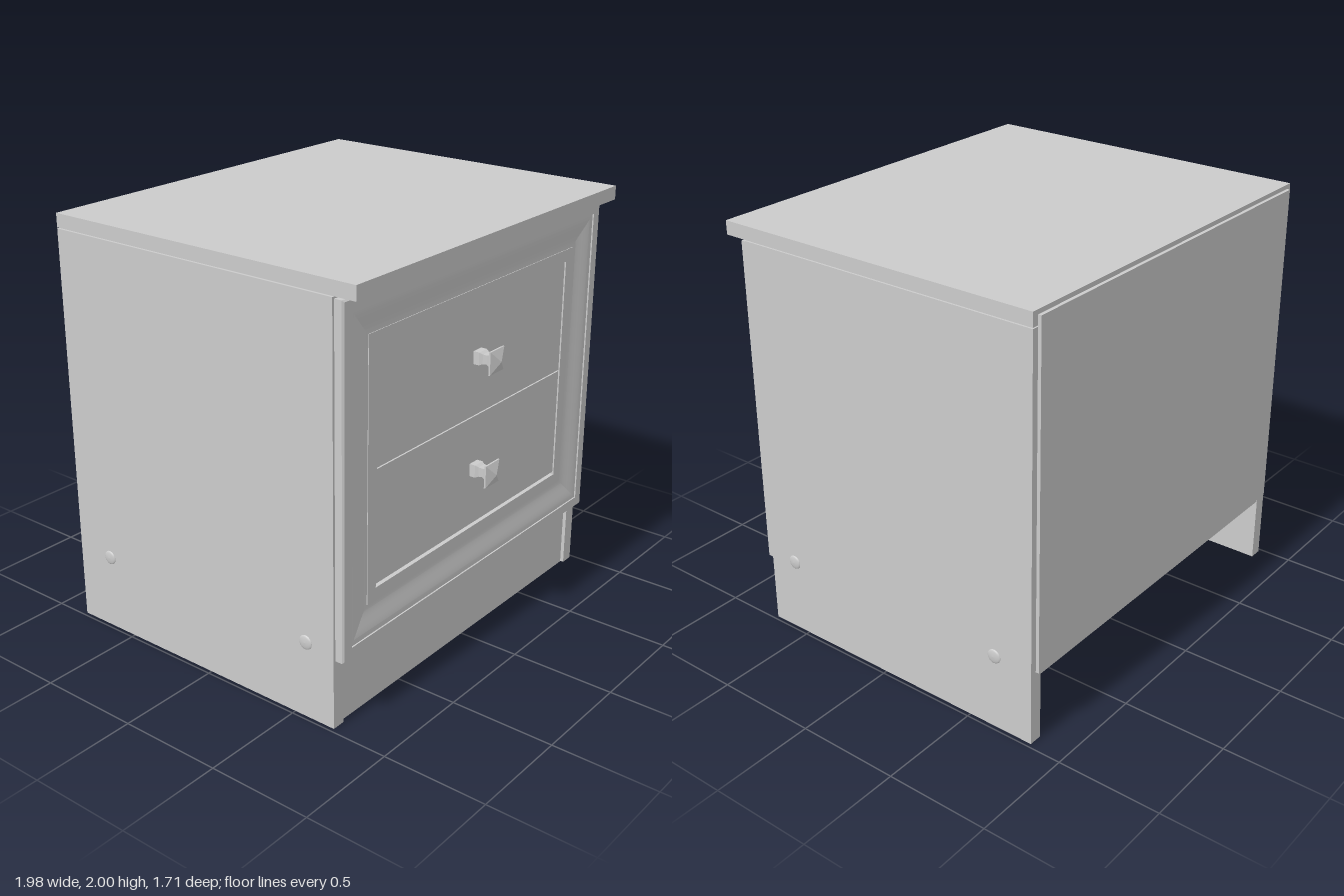
import * as THREE from 'three';
import { toCreasedNormals } from 'three/addons/utils/BufferGeometryUtils.js';

const material = new THREE.MeshStandardMaterial({ color: 0xcccccc });
const flatMaterial = new THREE.MeshStandardMaterial({ color: 0xcccccc, flatShading: true });

export function createModel() {
  const model = new THREE.Group();
  model.name = 'nightstand';

  const add = (name, geometry, mat = material) => {
    const mesh = new THREE.Mesh(geometry, mat);
    mesh.name = name;
    model.add(mesh);
    return mesh;
  };
  // Box given by its limits on each axis
  const board = (name, x0, x1, y0, y1, z0, z1) =>
    add(name, new THREE.BoxGeometry(x1 - x0, y1 - y0, z1 - z0))
      .position.set((x0 + x1) / 2, (y0 + y1) / 2, (z0 + z1) / 2);

  // Carcass
  board('top', -0.98, 0.98, 1.935, 2, -0.835, 0.83);
  board('leftSide', 0.915, 0.98, 0, 1.93, -0.835, 0.715);
  board('rightSide', -0.98, -0.915, 0, 1.93, -0.835, 0.715);
  board('backPanel', -0.95, 0.95, 0.36, 1.98, -0.852, -0.836);
  board('bottomShelf', -0.914, 0.914, 0.33, 0.395, -0.834, 0.7);
  board('plinth', -0.91, 0.91, 0, 0.329, 0.635, 0.7);

  // Mitred front frame: [distance in from the outer edge, z]
  const profile = [[0, 0.716], [0, 0.752], [0.008, 0.76], [0.055, 0.76], [0.055, 0.753]];
  // Ogee moulding running down towards the opening
  for (let i = 1; i <= 12; i++) {
    const t = i / 12;
    profile.push([0.055 + 0.135 * t, 0.753 - 0.02 * t * t * (3 - 2 * t)]);
  }
  profile.push([0.19, 0.736], [0.248, 0.736], [0.248, 0.716]);
  add('frontFrame', frameGeometry(profile, 0.97, 0.795)).position.y = 1.127;

  // Drawer fronts, knobs
  const knobProfile = [[0, 0], [0.03, 0], [0.03, 0.03], [0.023, 0.045], [0.021, 0.065],
    [0.026, 0.08], [0.054, 0.096], [0.054, 0.104], [0, 0.127]]
    .map(([r, h]) => new THREE.Vector2(r * Math.SQRT2, h));
  const knobGeometry = new THREE.LatheGeometry(knobProfile, 4)
    .rotateY(Math.PI / 4).rotateX(Math.PI / 2);
  [['upper', 1.133, 1.673, 1.413], ['lower', 0.593, 1.127, 0.873]].forEach(([name, y0, y1, y]) => {
    board(name + 'DrawerFront', -0.72, 0.72, y0, y1, 0.7, 0.73);
    add(name + 'Knob', knobGeometry, flatMaterial).position.set(0.005, y, 0.729);
  });

  // Domed screw caps on both sides
  const capProfile = [[0.034, 0], [0.033, 0.003], [0.026, 0.006], [0.014, 0.008], [0, 0.009]]
    .map(([r, h]) => new THREE.Vector2(r, h));
  const capGeometry = new THREE.LatheGeometry(capProfile, 24).rotateZ(-Math.PI / 2);
  for (const side of [1, -1]) {
    for (const z of [0.563, -0.637]) {
      const cap = add(side > 0 ? 'leftScrewCap' : 'rightScrewCap', capGeometry);
      cap.position.set(side * 0.98, 0.37, z);
      if (side < 0) cap.rotation.y = Math.PI;
    }
  }
  return model;
}

// Sweeps a closed profile round a rectangle with mitred corners
function frameGeometry(profile, halfWidth, halfHeight) {
  const corners = [[-1, -1], [1, -1], [1, 1], [-1, 1]];
  const positions = [];
  const point = ([sx, sy], [d, z]) => [sx * (halfWidth - d), sy * (halfHeight - d), z];
  corners.forEach((a, i) => {
    const b = corners[(i + 1) % 4];
    profile.forEach((p, j) => {
      const q = profile[(j + 1) % profile.length];
      const [p0, p1, p2, p3] = [point(a, p), point(b, p), point(b, q), point(a, q)];
      positions.push(...p0, ...p1, ...p2, ...p0, ...p2, ...p3);
    });
  });
  const geometry = new THREE.BufferGeometry();
  geometry.setAttribute('position', new THREE.Float32BufferAttribute(positions, 3));
  return toCreasedNormals(geometry, 0.16);
}
